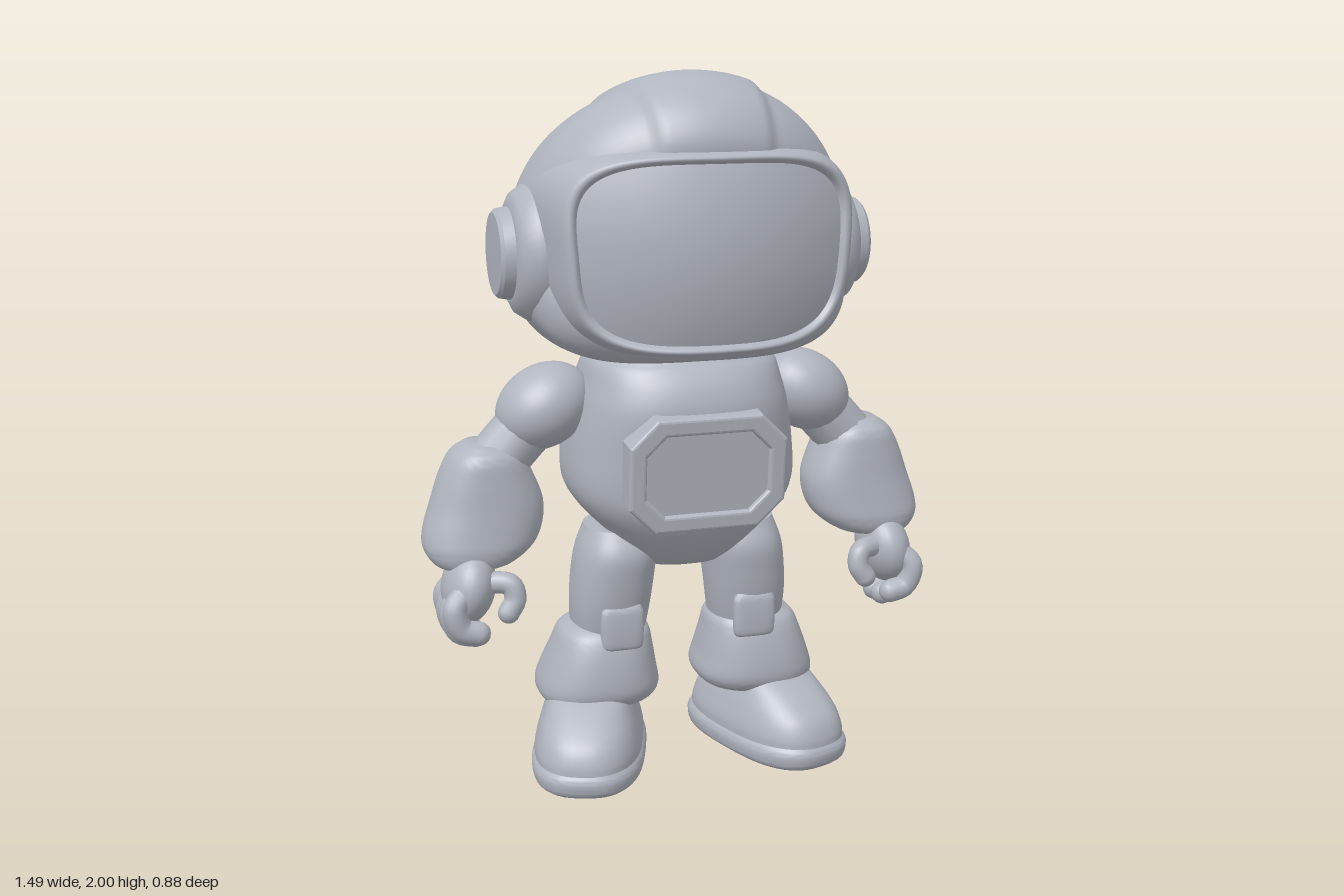
import * as THREE from 'three';
import { toCreasedNormals } from 'three/addons/utils/BufferGeometryUtils.js';

const shell = new THREE.MeshStandardMaterial({ color: 0xb1b5bf });
shell.name = 'shell grey';

function add(parent, name, geometry) {
  const mesh = new THREE.Mesh(geometry, shell);
  mesh.name = name;
  parent.add(mesh);
  return mesh;
}

// Grid surface: rows i from 0..rows, closed columns j; fn(i / rows, angle) -> [x, y, z]
function grid(rows, cols, fn) {
  const pos = [], idx = [];
  for (let i = 0; i <= rows; i++)
    for (let j = 0; j < cols; j++) pos.push(...fn(i / rows, (j / cols) * Math.PI * 2));
  for (let i = 0; i < rows; i++)
    for (let j = 0; j < cols; j++) {
      const a = i * cols + j, b = i * cols + ((j + 1) % cols), c = a + cols, d = b + cols;
      idx.push(a, c, b, c, d, b);
    }
  const g = new THREE.BufferGeometry();
  g.setAttribute('position', new THREE.Float32BufferAttribute(pos, 3));
  g.setIndex(idx);
  g.computeVertexNormals();
  return g;
}

const pw = (v, n) => Math.sign(v) * Math.pow(Math.abs(v), 2 / n);
const smooth = THREE.MathUtils.smoothstep;

// Solid from horizontal rings, bottom to top: [y, halfWidth, zBack, zFront, xCentre]
function stack(rings, n = 2.3, cols = 48) {
  const c1 = new THREE.CatmullRomCurve3(rings.map(r => new THREE.Vector3(r[0], r[1], r[4] || 0)), false, 'catmullrom');
  const c2 = new THREE.CatmullRomCurve3(rings.map(r => new THREE.Vector3(r[2], r[3], 0)), false, 'catmullrom');
  const rows = (rings.length - 1) * 5 + 2;
  const g = grid(rows, cols, (u, a) => {
    const i = Math.round(u * rows), t = THREE.MathUtils.clamp((i - 1) / (rows - 2), 0, 1);
    const p = c1.getPoint(t), q = c2.getPoint(t), k = i === 0 || i === rows ? 0 : 1;
    return [p.z + k * p.y * pw(Math.cos(a), n), p.x, (q.x + q.y) / 2 + k * (q.y - q.x) / 2 * pw(Math.sin(a), n)];
  });
  return toCreasedNormals(g, 0.9);
}

// Rounded tube through points
function addTube(parent, name, points, r) {
  const pts = points.map(p => new THREE.Vector3(...p));
  const group = new THREE.Group();
  group.name = name;
  add(group, name + 'Tube', new THREE.TubeGeometry(new THREE.CatmullRomCurve3(pts), 16, r, 14));
  [pts[0], pts[pts.length - 1]].forEach(p => add(group, name + 'End', new THREE.SphereGeometry(r, 14, 10)).position.copy(p));
  parent.add(group);
}

function buildHead() {
  const head = new THREE.Group();
  head.name = 'head';
  // Helmet: side profile (z, y) swept across x, with a raised band over the crown
  const profile = new THREE.CatmullRomCurve3([
    [0.37, 1.56], [0.38, 1.72], [0.39, 1.84], [0.32, 1.94], [0.18, 2.0], [0, 1.985], [-0.18, 1.94], [-0.32, 1.845],
    [-0.4, 1.71], [-0.44, 1.57], [-0.41, 1.45], [-0.34, 1.33], [-0.22, 1.25], [-0.06, 1.215], [0.15, 1.215],
    [0.28, 1.24], [0.36, 1.33], [0.37, 1.45],
  ].map(([z, y]) => new THREE.Vector3(0, y, z)), true, 'catmullrom');
  add(head, 'helmet', grid(120, 96, (u, a) => {
    const p = profile.getPoint(a / (Math.PI * 2)), dy = p.y - 1.56;
    const c = -Math.cos(u * Math.PI), x = 0.47 * c;
    const low = Math.max(0, -dy / 0.35);
    const n = 2 + 1.6 * low * low;
    let s = Math.pow(Math.max(0, 1 - Math.pow(Math.abs(c), n)), 1 / n);
    const half = 0.19 - 0.1 * p.z - 0.16 * smooth(-dy, 0, 0.3);
    const zone = smooth(dy, -0.25, 0.1);
    s *= 1 - 0.04 * zone * smooth(Math.abs(x), half - 0.015, half + 0.025);
    return [x, 1.56 + dy * s, p.z * s];
  }));

  // Curved visor and its raised rim share one rounded outline
  const face = (scale, a, dz) => {
    const v = pw(Math.sin(a), 3.6) * scale;
    const x = 0.365 * pw(Math.cos(a), 3.6) * scale * (1 + 0.05 * v), y = 1.535 + 0.24 * v;
    return [x, y, 0.44 - 0.85 * x * x - 0.7 * (y - 1.55) ** 2 + dz];
  };
  add(head, 'visor', grid(16, 96, (u, a) => face(u, a, 0)));
  const rim = new THREE.CatmullRomCurve3([
    [0.96, -0.02], [0.99, 0.0], [1.03, 0.02], [1.08, 0.02], [1.13, -0.02], [1.17, -0.08], [1.21, -0.17],
  ].map(([s, d]) => new THREE.Vector3(s, d, 0)), false, 'catmullrom');
  add(head, 'visorRim', grid(24, 96, (u, a) => {
    const p = rim.getPoint(u);
    return face(p.x, a, p.y);
  }));

  // Ear discs
  const disc = [[0.17, 0.34], [0.19, 0.4], [0.188, 0.44], [0.165, 0.475], [0.135, 0.49], [0.127, 0.49],
    [0.122, 0.52], [0.112, 0.53], [0, 0.532]].map(p => new THREE.Vector2(...p));
  for (const s of [1, -1]) {
    const ear = add(head, s > 0 ? 'leftEar' : 'rightEar', toCreasedNormals(new THREE.LatheGeometry(disc, 48), 0.6));
    ear.rotation.z = -s * Math.PI / 2;
    ear.position.set(0, 1.515, 0.04);
  }
  return head;
}

function octagon(Type, w, h, c) {
  return new Type([[w, h - c], [w - c, h], [c - w, h], [-w, h - c], [-w, c - h], [c - w, -h], [w - c, -h], [w, c - h]]
    .map(p => new THREE.Vector2(...p)));
}

function buildTorso() {
  const torso = new THREE.Group();
  torso.name = 'torso';
  add(torso, 'body', stack([
    [0.61, 0.11, -0.04, 0.13], [0.65, 0.16, -0.11, 0.18], [0.72, 0.235, -0.2, 0.235], [0.79, 0.3, -0.255, 0.27],
    [0.86, 0.33, -0.285, 0.28], [0.97, 0.325, -0.303, 0.29], [1.08, 0.305, -0.295, 0.3], [1.15, 0.285, -0.26, 0.285],
    [1.2, 0.27, -0.215, 0.255], [1.225, 0.25, -0.19, 0.23], [1.26, 0.24, -0.18, 0.22],
  ], 2.6, 64));

  // Chest panel: bevelled frame around a plain plate
  const panel = new THREE.Group();
  panel.name = 'chestPanel';
  panel.position.set(0, 0.93, 0.24);
  panel.rotation.x = 0.1;
  const frame = octagon(THREE.Shape, 0.215, 0.155, 0.07);
  frame.holes.push(octagon(THREE.Path, 0.185, 0.125, 0.06));
  const bevel = { bevelThickness: 0.012, bevelSize: 0.01, bevelSegments: 3 };
  add(panel, 'chestFrame', new THREE.ExtrudeGeometry(frame, { depth: 0.065, ...bevel }));
  add(panel, 'chestPlate', new THREE.ExtrudeGeometry(octagon(THREE.Shape, 0.19, 0.13, 0.06), { depth: 0.062, bevelEnabled: false }));
  torso.add(panel);
  return torso;
}

function buildArm() {
  const arm = new THREE.Group();
  const shoulder = add(arm, 'shoulder', new THREE.SphereGeometry(1, 32, 24));
  shoulder.scale.set(0.145, 0.115, 0.13);
  shoulder.position.set(0.39, 1.075, 0);
  shoulder.rotation.z = -0.55;
  addTube(arm, 'upperArm', [[0.38, 1.08, 0], [0.46, 1.0, 0], [0.55, 0.9, 0]], 0.085);
  add(arm, 'forearm', stack([
    [0.635, 0.07, -0.04, 0.1, 0.615], [0.65, 0.115, -0.08, 0.125, 0.605], [0.69, 0.155, -0.105, 0.135, 0.59],
    [0.74, 0.168, -0.12, 0.13, 0.575], [0.81, 0.16, -0.128, 0.122, 0.56], [0.89, 0.132, -0.13, 0.115, 0.56],
    [0.95, 0.1, -0.12, 0.105, 0.56], [0.98, 0.055, -0.08, 0.07, 0.565],
  ], 2.4));
  // Palm, four curled fingers and a thumb
  const palm = add(arm, 'palm', new THREE.SphereGeometry(1, 28, 20));
  palm.scale.set(0.075, 0.11, 0.115);
  palm.position.set(0.63, 0.59, 0.07);
  palm.rotation.z = 0.2;
  [[0.16, 0.03], [0.1, 0.005], [0.04, 0], [-0.01, 0.02]].forEach(([z, up], i) =>
    addTube(arm, 'finger' + (i + 1), [[0.65, 0.59, z * 0.8 + 0.01], [0.685, 0.52 + up, z], [0.665, 0.46 + up, z],
      [0.62, 0.445 + up, z]], 0.034));
  addTube(arm, 'thumb', [[0.59, 0.61, 0.12], [0.525, 0.605, 0.15], [0.515, 0.565, 0.16], [0.535, 0.53, 0.165]], 0.031);
  return arm;
}

function buildLeg() {
  const leg = new THREE.Group();
  add(leg, 'thigh', stack([
    [0.34, 0.09, -0.09, 0.09, 0.215], [0.39, 0.105, -0.115, 0.115, 0.212], [0.48, 0.115, -0.115, 0.14, 0.208],
    [0.57, 0.118, -0.12, 0.155, 0.2], [0.65, 0.115, -0.115, 0.16, 0.19], [0.72, 0.1, -0.09, 0.13, 0.18],
  ]));
  const knee = add(leg, 'kneePad', stack([
    [-0.08, 0.045, 0, 0.03], [-0.065, 0.06, 0, 0.045], [0.03, 0.062, 0, 0.045], [0.06, 0.05, 0, 0.03],
  ], 3.5));
  knee.position.set(0.2, 0.45, 0.105);
  add(leg, 'shin', stack([
    [0.18, 0.12, -0.15, 0.1, 0.245], [0.2, 0.165, -0.19, 0.14, 0.245], [0.235, 0.178, -0.205, 0.16, 0.24],
    [0.29, 0.165, -0.185, 0.16, 0.237], [0.36, 0.145, -0.15, 0.148, 0.23], [0.405, 0.13, -0.13, 0.13, 0.225],
    [0.43, 0.1, -0.1, 0.1, 0.22],
  ], 2.5));
  // Boot, turned outward
  const boot = new THREE.Group();
  boot.name = 'boot';
  boot.position.set(0.275, 0, 0.03);
  boot.rotation.y = 0.32;
  add(boot, 'sole', stack([
    [0, 0.148, -0.27, 0.27], [0.015, 0.162, -0.285, 0.285], [0.05, 0.165, -0.29, 0.29], [0.075, 0.15, -0.275, 0.275],
  ], 2.7));
  add(boot, 'bootUpper', stack([
    [0.04, 0.155, -0.275, 0.28], [0.09, 0.157, -0.275, 0.278], [0.14, 0.145, -0.255, 0.255], [0.185, 0.13, -0.22, 0.2],
    [0.225, 0.115, -0.18, 0.13], [0.25, 0.09, -0.14, 0.07],
  ], 2.6));
  leg.add(boot);
  return leg;
}

export function createModel() {
  const model = new THREE.Group();
  model.name = 'astronautRobot';
  model.add(buildHead(), buildTorso());
  for (const [side, s] of [['left', 1], ['right', -1]]) {
    const arm = buildArm(), leg = buildLeg();
    arm.name = side + 'Arm';
    leg.name = side + 'Leg';
    arm.scale.x = leg.scale.x = s;
    model.add(arm, leg);
  }
  return model;
}
